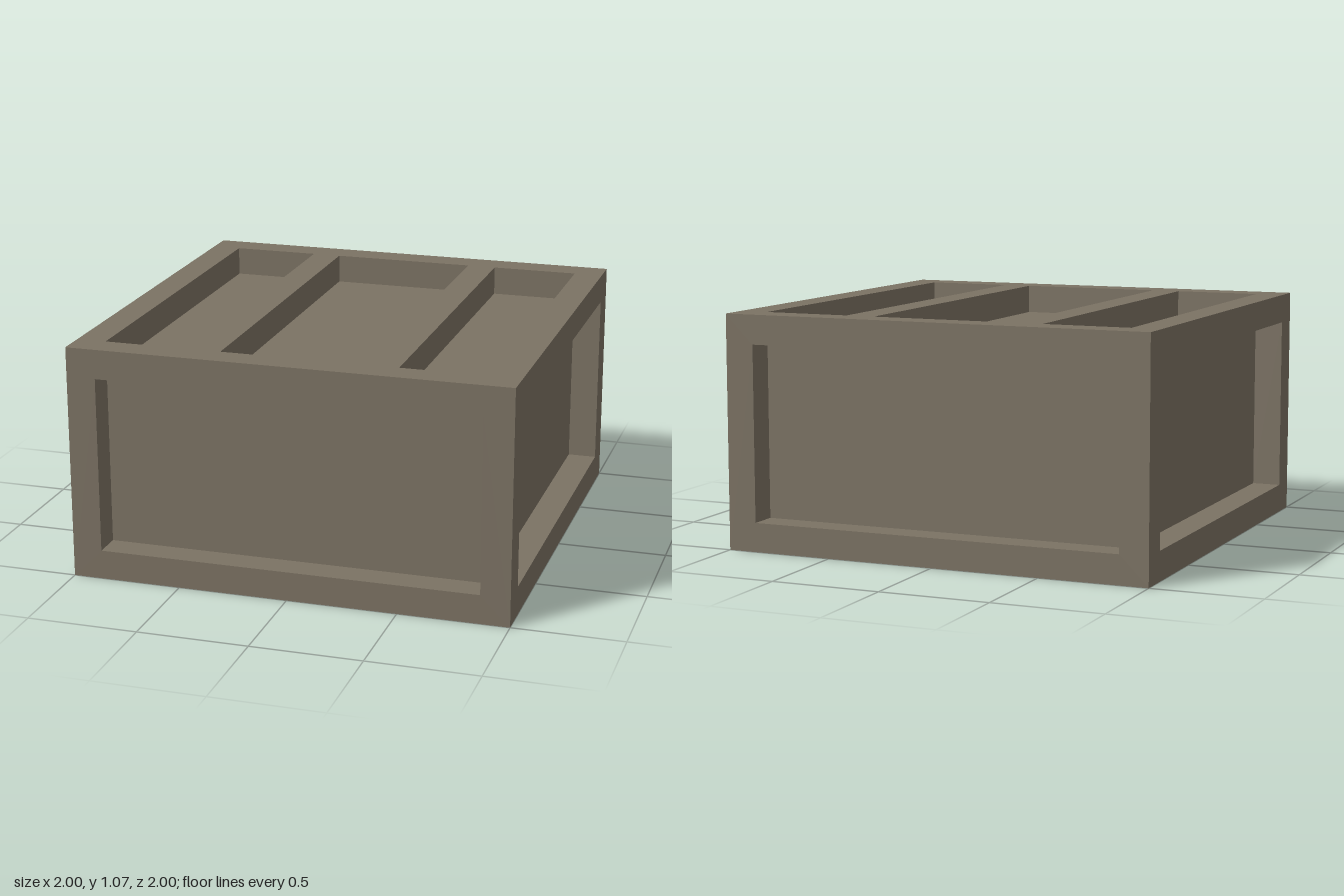
import * as THREE from 'three';
import { mergeGeometries } from 'three/addons/utils/BufferGeometryUtils.js';

const SIZE = 2, HEIGHT = 1.067, BEAM = 0.133;

// Rectangle outline, centred on (cx, 0)
function rect(path, cx, w, h) {
  path.moveTo(cx - w / 2, -h / 2);
  path.lineTo(cx + w / 2, -h / 2);
  path.lineTo(cx + w / 2, h / 2);
  path.lineTo(cx - w / 2, h / 2);
  path.closePath();
  return path;
}

// One crate side facing +z: a beam frame with sunken panels behind its openings
function frameSide(w, h, openings) {
  const shape = rect(new THREE.Shape(), 0, w, h);
  const oh = h - 2 * BEAM;
  const parts = [];
  for (const [cx, ow] of openings) {
    shape.holes.push(rect(new THREE.Path(), cx, ow, oh));
    // sunken panel
    parts.push(new THREE.PlaneGeometry(ow, oh).translate(cx, 0, -BEAM));
    // inner faces of the beams
    for (const s of [-1, 1]) {
      parts.push(new THREE.PlaneGeometry(BEAM, oh).rotateY(-s * Math.PI / 2)
        .translate(cx + s * ow / 2, 0, -BEAM / 2));
      parts.push(new THREE.PlaneGeometry(ow, BEAM).rotateX(s * Math.PI / 2)
        .translate(cx, s * oh / 2, -BEAM / 2));
    }
  }
  parts.push(new THREE.ShapeGeometry(shape));
  return mergeGeometries(parts);
}

export function createModel() {
  const group = new THREE.Group();
  group.name = 'crate';
  const wood = new THREE.MeshStandardMaterial({ color: 0x7b7263 });
  wood.name = 'weathered wood';

  const add = (name, geometry) => {
    const mesh = new THREE.Mesh(geometry, wood);
    mesh.name = name;
    group.add(mesh);
    return mesh;
  };

  // Four walls, each with one wide recess
  const wall = frameSide(SIZE, HEIGHT, [[0, SIZE - 2 * BEAM]]);
  ['frontWall', 'leftWall', 'backWall', 'rightWall'].forEach((name, i) => {
    const a = i * Math.PI / 2;
    const mesh = add(name, wall);
    mesh.rotation.y = a;
    mesh.position.set(Math.sin(a) * SIZE / 2, HEIGHT / 2, Math.cos(a) * SIZE / 2);
  });

  // Lid and base, each with two bars between three long recesses
  const slatted = frameSide(SIZE, SIZE, [[-0.667, 0.4], [0, 0.667], [0.667, 0.4]]);
  const lid = add('lid', slatted);
  lid.rotation.x = -Math.PI / 2;
  lid.position.y = HEIGHT;
  const base = add('base', slatted);
  base.rotation.x = Math.PI / 2;

  return group;
}
